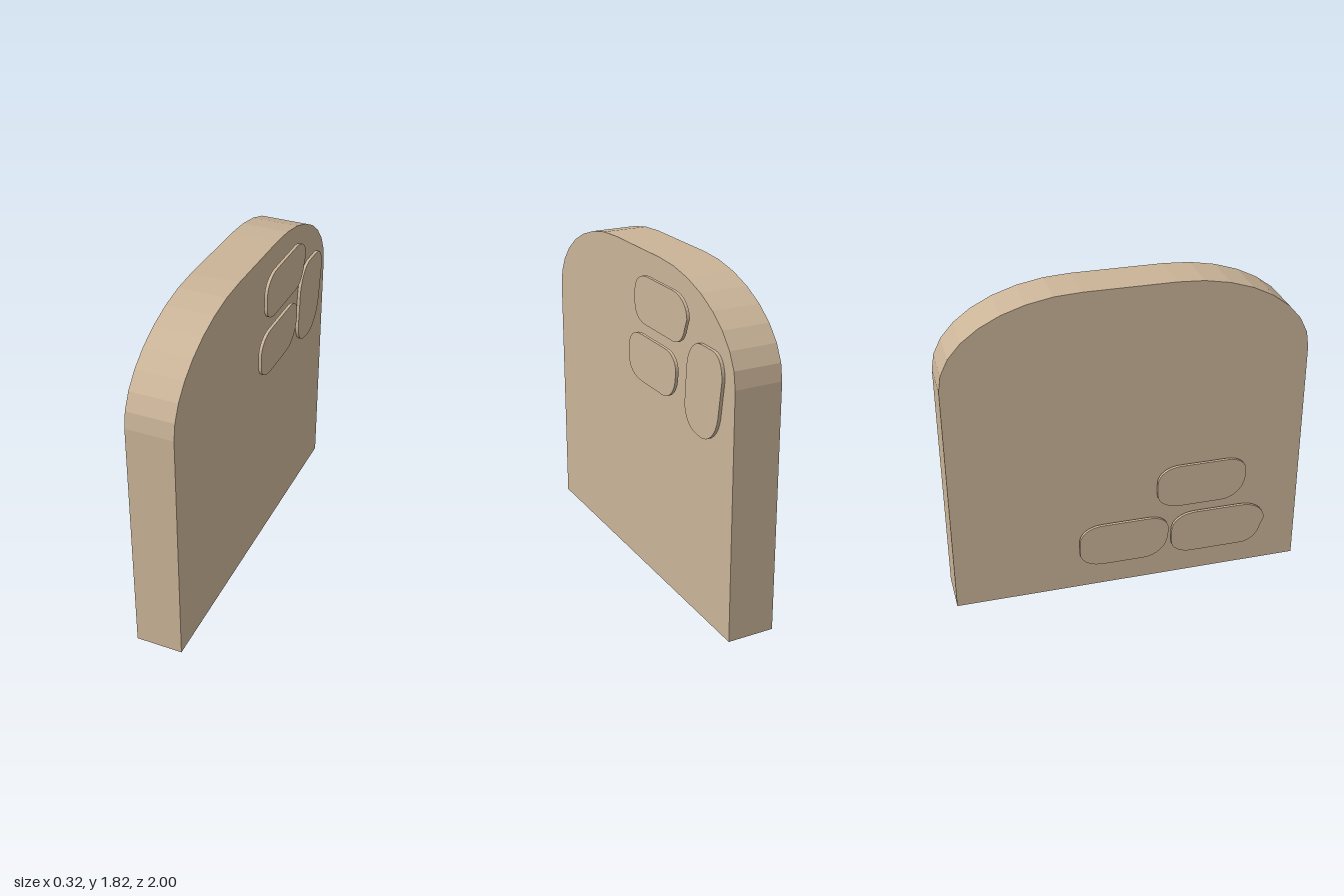
import * as THREE from 'three';

const stone = new THREE.MeshStandardMaterial({ color: 0xcab498 });
stone.name = 'tan stone';

// Each patch is four rounded corners: [start, corner, end] as (u, y) pairs,
// where u runs to the right when looking straight at the face.
const longBrick = [
  [0.45, 1.705, 0.597, 1.705, 0.597, 1.596],
  [0.575, 1.543, 0.555, 1.444, 0.457, 1.444],
  [0.163, 1.444, 0.04, 1.444, 0.04, 1.527],
  [0.04, 1.6, 0.04, 1.705, 0.18, 1.705],
];
const shortBrick = [
  [0.377, 1.38, 0.487, 1.38, 0.487, 1.295],
  [0.484, 1.25, 0.47, 1.12, 0.34, 1.12],
  [0.11, 1.12, -0.03, 1.12, -0.03, 1.21],
  [-0.03, 1.28, -0.03, 1.38, 0.104, 1.38],
];
const uprightBrick = [
  [0.82, 1.503, 0.92, 1.503, 0.91, 1.37],
  [0.88, 1.175, 0.85, 1.02, 0.715, 1.02],
  [0.67, 1.025, 0.555, 1.03, 0.555, 1.15],
  [0.57, 1.335, 0.58, 1.503, 0.714, 1.503],
];

function roundedShape(corners) {
  const shape = new THREE.Shape();
  const k = 0.58;
  corners.forEach(([ax, ay, cx, cy, bx, by], i) => {
    if (i === 0) shape.moveTo(ax, ay);
    else shape.lineTo(ax, ay);
    shape.bezierCurveTo(
      ax + (cx - ax) * k, ay + (cy - ay) * k,
      bx + (cx - bx) * k, by + (cy - by) * k, bx, by);
  });
  shape.closePath();
  return shape;
}

// Extrudes an outline outwards from the +x face (side 1) or the -x face (side -1)
function plate(name, shape, side, inner, depth, du = 0, dy = 0) {
  const geometry = new THREE.ExtrudeGeometry(shape, { depth, bevelEnabled: false, curveSegments: 8 });
  geometry.translate(du, dy, inner);
  geometry.rotateY(side * Math.PI / 2);
  const mesh = new THREE.Mesh(geometry, stone);
  mesh.name = name;
  return mesh;
}

// Upright slab outline with elliptical faceted shoulders
function slabShape() {
  const shape = new THREE.Shape();
  const segments = 8, flat = 0.25, rx = 0.75, ry = 0.46, base = 1.36;
  shape.moveTo(-1, 0);
  shape.lineTo(1, 0);
  for (const side of [1, -1]) {
    for (let i = 0; i <= segments; i++) {
      const a = (side > 0 ? i : segments - i) / segments * Math.PI / 2;
      shape.lineTo(side * (flat + rx * Math.cos(a)), base + ry * Math.sin(a));
    }
  }
  shape.closePath();
  return shape;
}

export function createModel() {
  const group = new THREE.Group();
  group.name = 'gravestone';

  group.add(plate('slab', slabShape(), 1, -0.133, 0.259));

  const long = roundedShape(longBrick);
  const short = roundedShape(shortBrick);
  const upright = roundedShape(uprightBrick);

  // Upper cluster on the +x face
  group.add(plate('upperLongBrick', long, 1, 0.143, 0.017));
  group.add(plate('upperShortBrick', short, 1, 0.143, 0.017));
  group.add(plate('upperUprightBrick', upright, 1, 0.128, 0.017));

  // Lower cluster on the -x face
  group.add(plate('lowerLongBrick', long, -1, 0.147, 0.017, 0.2, -1.294));
  group.add(plate('lowerShortBrick', short, -1, 0.147, 0.017, -0.265, -0.968));
  group.add(plate('middleShortBrick', short, -1, 0.147, 0.017, 0.185, -0.65));

  return group;
}
